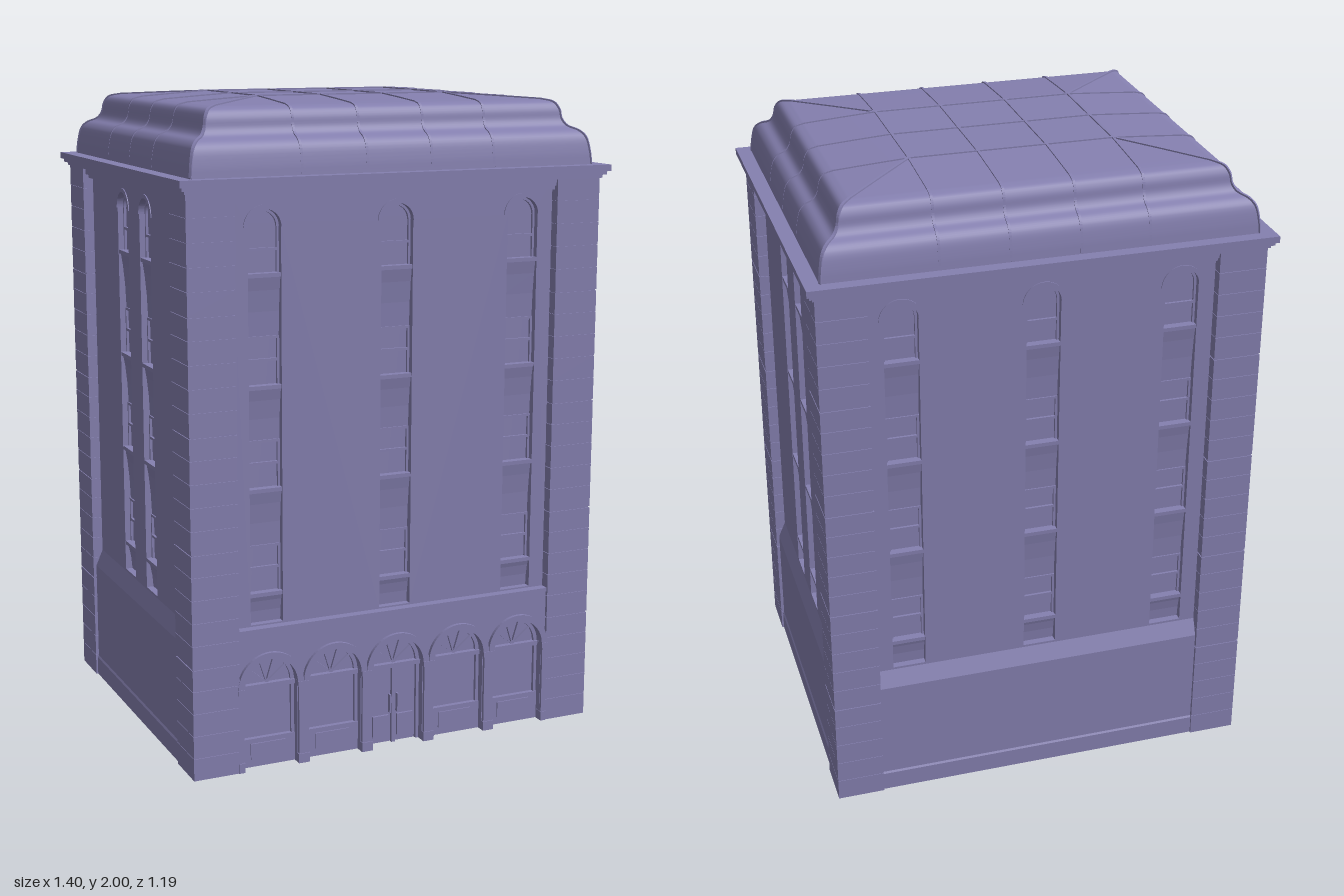
import * as THREE from 'three';

const stone = new THREE.MeshStandardMaterial({ color: 0x8580b0, side: THREE.DoubleSide });
const HX = 0.675, HZ = 0.57, PIER = 0.148, RECESS = 0.033;

function add(parent, name, geometry, x = 0, y = 0, z = 0) {
  const mesh = new THREE.Mesh(geometry, stone);
  mesh.name = name;
  mesh.position.set(x, y, z);
  parent.add(mesh);
  return mesh;
}
// Box given by its centre x, bottom y and front z
function box(parent, name, w, h, d, x, y, zFront) {
  return add(parent, name, new THREE.BoxGeometry(w, h, d), x, y + h / 2, zFront - d / 2);
}
const extrude = (shape, depth) =>
  new THREE.ExtrudeGeometry(shape, { depth, bevelEnabled: false, curveSegments: 16 });

// Round-headed outline: bottom y0, springing line ys, half width r
function archShape(x, y0, ys, r, Type = THREE.Shape) {
  const s = new Type();
  s.moveTo(x - r, y0);
  s.lineTo(x + r, y0);
  s.lineTo(x + r, ys);
  s.absarc(x, ys, r, 0, Math.PI, false);
  s.closePath();
  return s;
}
function halfRing(rIn, rOut, depth) {
  const s = new THREE.Shape();
  s.absarc(0, 0, rOut, 0, Math.PI, false);
  s.absarc(0, 0, rIn, Math.PI, 0, true);
  s.closePath();
  return extrude(s, depth);
}
// Section of [z, y] points run along x, centred
function moulding(points, width) {
  const g = extrude(new THREE.Shape(points.map(p => new THREE.Vector2(...p))), width);
  return g.rotateY(-Math.PI / 2).translate(width / 2, 0, 0);
}

// One vertical strip of four windows, z measured from the wall surface
function windowStrip(x, wallZ) {
  const g = new THREE.Group();
  g.name = 'windowStrip';
  g.position.set(x, 0, wallZ);
  const r = 0.052;
  add(g, 'glass', extrude(archShape(0, 0.45, 1.64, r), 0.004), 0, 0, -0.03);
  const sills = [0.54, 0.86, 1.17, 1.5], heads = [0.69, 1.01, 1.32];
  sills.forEach((y, i) => {
    const bottom = i ? heads[i - 1] : 0.45;
    // flared spandrel under each sill
    add(g, 'spandrel', moulding([[-0.03, bottom], [-0.022, bottom], [-0.019, bottom + (y - bottom) * 0.4],
      [-0.013, bottom + (y - bottom) * 0.75], [-0.006, y], [-0.03, y]], 2 * r));
    box(g, 'sill', 2 * r, 0.012, 0.028, 0, y - 0.006, -0.001);
    const top = i < 3 ? heads[i] : 1.64;
    box(g, 'meetingRail', 2 * r, 0.008, 0.01, 0, (y + top) / 2, -0.018);
    for (const s of [-1, 1]) box(g, 'stile', 0.007, top - y, 0.01, s * (r - 0.0035), y, -0.018);
    if (i < 3) box(g, 'headRail', 2 * r, 0.008, 0.01, 0, top - 0.008, -0.018);
  });
  add(g, 'archFrame', halfRing(r - 0.008, r, 0.01), 0, 1.64, -0.027);
  add(g, 'archTrim', halfRing(r, r + 0.013, 0.004), 0, 1.64, -0.001);
  return g;
}

function plainBase(g, halfW, dist) {
  add(g, 'plainBase', moulding([[-0.055, 0], [-0.006, 0], [-0.006, 0.06], [-0.01, 0.066],
    [-0.01, 0.39], [-0.033, 0.443], [-0.055, 0.443]], 2 * halfW), 0, 0, dist);
}

// Ground floor with five round arches
function arcade(g, halfW, dist) {
  const r = 0.088, spring = 0.262, step = 0.2125;
  const s = new THREE.Shape();
  s.moveTo(-halfW, 0);
  for (let i = -2; i <= 2; i++) {
    const x = i * step;
    s.lineTo(x - r, 0);
    s.lineTo(x - r, spring);
    s.absarc(x, spring, r, Math.PI, 0, true);
    s.lineTo(x + r, 0);
  }
  s.lineTo(halfW, 0);
  s.lineTo(halfW, 0.443);
  s.lineTo(-halfW, 0.443);
  s.closePath();
  add(g, 'arcadeWall', extrude(s, 0.045), 0, 0, dist - 0.055);
  box(g, 'arcadeLedge', 2 * halfW, 0.012, 0.05, 0, 0.433, dist - 0.004);

  for (let i = -2; i <= 2; i++) {
    const bay = new THREE.Group();
    bay.name = i ? 'shopfront' : 'entrance';
    bay.position.set(i * step, 0, dist);
    g.add(bay);
    add(bay, 'infill', extrude(archShape(0, 0, spring, r), 0.005), 0, 0, -0.05);
    add(bay, 'archivolt', halfRing(r - 0.002, r + 0.018, 0.013), 0, spring, -0.012);
    add(bay, 'fanlightRim', halfRing(r - 0.012, r, 0.012), 0, spring, -0.047);
    box(bay, 'transom', 2 * r, 0.014, 0.02, 0, spring - 0.014, -0.028);
    for (const a of [-0.9, -0.3, 0.3, 0.9]) {
      const bar = add(bay, 'fanlightBar', new THREE.BoxGeometry(0.005, r, 0.01).translate(0, r / 2, 0), 0, spring, -0.042);
      bar.rotation.z = a;
    }
    for (const k of [-1, 1]) box(bay, 'jamb', 0.01, spring, 0.014, k * (r - 0.005), 0, -0.034);
    if (i) {
      box(bay, 'stallRiser', 2 * r, 0.09, 0.02, 0, 0, -0.03);
      box(bay, 'riserPanel', 1.3 * r, 0.05, 0.006, 0, 0.025, -0.026);
    } else {
      box(bay, 'doorStile', 0.012, 0.25, 0.014, 0, 0, -0.034);
      for (const k of [-1, 1]) {
        box(bay, 'doorPanel', 0.055, 0.07, 0.01, k * 0.042, 0.02, -0.037);
        box(bay, 'doorHandle', 0.005, 0.06, 0.014, k * 0.013, 0.1, -0.028);
      }
    }
  }
  // pilasters between and beside the arches
  for (let i = -2.5; i <= 2.5; i++) {
    const x = THREE.MathUtils.clamp(i * step, -halfW + 0.008, halfW - 0.008);
    const w = Math.abs(i) > 2 ? 0.016 : 0.032;
    box(g, 'pilaster', w, 0.25, 0.03, x, 0, dist);
    box(g, 'pilasterBase', w + 0.004, 0.03, 0.03, x, 0, dist + 0.003);
    box(g, 'capital', w + 0.006, 0.016, 0.03, x, 0.247, dist + 0.003);
  }
}

// A facade built facing +z, at distance dist from the centre
function facade(name, halfW, dist, strips, base) {
  const g = new THREE.Group();
  g.name = name;
  const wallZ = dist - RECESS;
  const s = new THREE.Shape();
  s.moveTo(-halfW, 0.44);
  s.lineTo(halfW, 0.44);
  s.lineTo(halfW, 1.75);
  s.lineTo(-halfW, 1.75);
  s.closePath();
  for (const x of strips) s.holes.push(archShape(x, 0.45, 1.64, 0.052, THREE.Path));
  add(g, 'wall', extrude(s, 0.03), 0, 0, wallZ - 0.03);
  strips.forEach(x => g.add(windowStrip(x, wallZ)));
  box(g, 'frieze', 2 * halfW, 0.03, 0.04, 0, 1.725, dist - 0.008);
  box(g, 'friezeBead', 2 * halfW, 0.012, 0.03, 0, 1.713, dist - 0.018);
  base(g, halfW, dist);
  return g;
}

// Corner pier of stacked courses with fine joints
function pier(sx, sz) {
  const g = new THREE.Group();
  g.name = 'cornerPier';
  g.position.set(sx * (HX - PIER / 2), 0, sz * (HZ - PIER / 2));
  box(g, 'pierCore', PIER - 0.006, 1.75, PIER - 0.006, 0, 0, PIER / 2 - 0.003);
  const n = 25, h = 1.75 / n;
  for (let i = 0; i < n; i++) {
    const gap = i % 5 === 4 ? 0.005 : 0.0015;
    box(g, 'course', PIER, h - gap, PIER, 0, i * h, PIER / 2);
  }
  return g;
}

// Roof: one profile [inset, y] followed on all four sides
const RX = 0.655, RZ = 0.555, TOP = 0.34;
const curve = new THREE.CatmullRomCurve3([[0, 1.785], [0.004, 1.825], [0.014, 1.868], [0.03, 1.887], [0.055, 1.9],
  [0.068, 1.92], [0.074, 1.95], [0.088, 1.972], [0.118, 1.981]].map(p => new THREE.Vector3(p[0], p[1], 0)), false, 'centripetal');
const profile = curve.getPoints(32).map(p => [p.x, p.y]).concat([[0.23, 1.989], [TOP, 1.996]]);

function roofSide(halfW, dist) {
  const pos = [], idx = [];
  profile.forEach(([d, y], i) => {
    pos.push(-(halfW - d), y, dist - d, halfW - d, y, dist - d);
    const a = 2 * i;
    if (i) idx.push(a - 2, a - 1, a + 1, a - 2, a + 1, a);
  });
  const geo = new THREE.BufferGeometry();
  geo.setAttribute('position', new THREE.Float32BufferAttribute(pos, 3));
  geo.setIndex(idx);
  geo.computeVertexNormals();
  return geo;
}
// Standing seam: thin upright band following [u, y] points
function seam(points) {
  const outer = points.map(([u, y]) => new THREE.Vector2(u, y + 0.004));
  const inner = points.map(([u, y]) => new THREE.Vector2(u * 0.985, y - 0.006)).reverse();
  return extrude(new THREE.Shape(outer.concat(inner)), 0.008).translate(0, 0, -0.004);
}
function roof() {
  const g = new THREE.Group();
  g.name = 'roof';
  for (let k = 0; k < 4; k++) {
    const side = k % 2 ? roofSide(RZ, RX) : roofSide(RX, RZ);
    add(g, 'roofSlope', side).rotation.y = k * Math.PI / 2;
  }
  const top = new THREE.PlaneGeometry(2 * (RX - TOP), 2 * (RZ - TOP)).rotateX(-Math.PI / 2);
  add(g, 'roofTop', top, 0, 1.996, 0);
  const across = dist => {
    const half = profile.map(([d, y]) => [dist - d, y]);
    return half.concat(half.map(([u, y]) => [-u, y]).reverse());
  };
  for (const z of [-0.213, 0, 0.213]) add(g, 'seam', seam(across(RX)), 0, 0, z);
  for (const x of [-0.313, -0.105, 0.105, 0.313]) add(g, 'seam', seam(across(RZ)), x).rotation.y = Math.PI / 2;
  // hip seams run diagonally from the corners of the flat top
  const hip = seam(profile.map(([d, y]) => [(TOP - d) * Math.SQRT2, y]));
  for (const sx of [-1, 1]) for (const sz of [-1, 1])
    add(g, 'hipSeam', hip, sx * (RX - TOP), 0, sz * (RZ - TOP)).rotation.y = Math.atan2(-sz, sx);
  return g;
}

export function createModel() {
  const model = new THREE.Group();
  model.name = 'building';
  const wx = HX - PIER + 0.003, wz = HZ - PIER + 0.003;
  const long = [-0.425, 0, 0.425], short = [-0.108, 0.108];
  const sides = [['frontFacade', wx, HZ, long, arcade], ['leftFacade', wz, HX, short, plainBase],
    ['backFacade', wx, HZ, long, plainBase], ['rightFacade', wz, HX, short, plainBase]];
  sides.forEach((args, k) => {
    const f = facade(...args);
    f.rotation.y = k * Math.PI / 2;
    model.add(f);
  });
  for (const sx of [-1, 1]) for (const sz of [-1, 1]) model.add(pier(sx, sz));

  // stepped cornice: overhang, bottom, height
  for (const [o, y, h] of [[0.006, 1.745, 0.012], [0.016, 1.755, 0.012], [0.025, 1.766, 0.02]])
    box(model, 'cornice', 2 * (HX + o), h, 2 * (HZ + o), 0, y, HZ + o);
  model.add(roof());
  return model;
}
